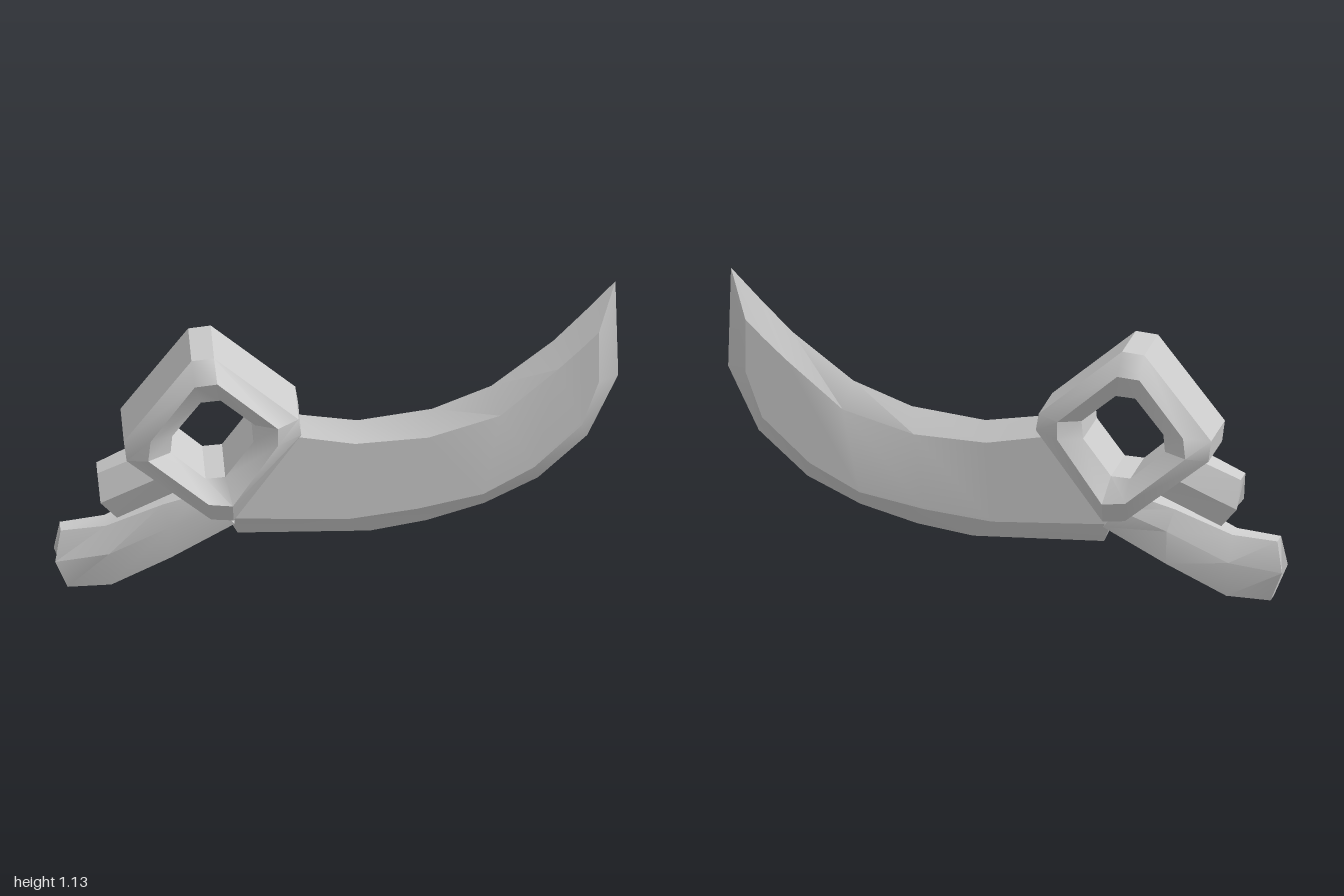
import * as THREE from 'three';
import { toCreasedNormals } from 'three/addons/utils/BufferGeometryUtils.js';

const material = new THREE.MeshStandardMaterial({ color: 0xcccccc });

// Skin a list of equal-length cross-sections; closed = the last joins the first
function loft(name, sections, closed = false) {
  const n = sections[0].length, count = sections.length;
  const tris = [];
  for (let i = 0; i < (closed ? count : count - 1); i++) {
    const a = sections[i], b = sections[(i + 1) % count];
    for (let j = 0; j < n; j++) {
      const k = (j + 1) % n;
      tris.push([a[j], b[j], b[k]], [a[j], b[k], a[k]]);
    }
  }
  if (!closed) {
    const a = sections[0], b = sections[count - 1];
    for (let j = 1; j < n - 1; j++) {
      tris.push([a[0], a[j], a[j + 1]], [b[0], b[j + 1], b[j]]);
    }
  }
  // Turn all faces outward by the sign of the enclosed volume
  const volume = tris.reduce((s, [a, b, c]) => s + a.dot(b.clone().cross(c)), 0);
  if (volume < 0) tris.forEach(t => t.reverse());
  const geometry = new THREE.BufferGeometry().setFromPoints(tris.flat());
  const mesh = new THREE.Mesh(toCreasedNormals(geometry, 0.5), material);
  mesh.name = name;
  return mesh;
}

const v = (p, z) => new THREE.Vector3(p[0], p[1], z);

export function createModel() {
  const group = new THREE.Group();

  // Octagonal ring: outer wall, front and back ridge, inner wall
  const outer = [[-.52, .91], [-.44, .92], [-.14, .68], [-.13, .62], [-.37, .295], [-.45, .30], [-.75, .53], [-.76, .605]];
  const ridge = [[-.51, .83], [-.43, .84], [-.215, .665], [-.215, .60], [-.375, .37], [-.46, .377], [-.675, .548], [-.667, .623]];
  const inner = [[-.487, .75], [-.417, .757], [-.294, .66], [-.30, .596], [-.40, .463], [-.47, .457], [-.594, .56], [-.588, .623]];
  group.add(loft('ring', outer.map((o, i) => [
    v(o, -.15), v(o, .15), v(ridge[i], .2), v(inner[i], .15), v(inner[i], -.15), v(ridge[i], -.2),
  ]), true));

  // Curved blade: top edge, upper shoulder, lower shoulder, bottom edge
  const blade = [
    [[-.21, .645], [-.21, .58], [-.385, .26], [-.35, .185]],
    [[.075, .61], [.065, .54], [.045, .252], [.12, .185]],
    [[.34, .65], [.325, .56], [.285, .287], [.32, .222]],
    [[.55, .735], [.58, .64], [.52, .34], [.525, .285]],
    [[.77, .905], [.785, .815], [.70, .44], [.715, .38]],
    [[.88, 1.015], [.865, .89], [.87, .60], [.89, .54]],
    [[.99, 1.13], [.93, .955], [.93, .765], [1, .77]],
  ];
  group.add(loft('blade', blade.map(([top, up, low, bottom]) => [
    v(top, 0), v(up, .05), v(low, .05), v(bottom, 0), v(low, -.05), v(up, -.05),
  ])));

  // Six-sided prongs: top, middle, bottom points, then their half widths
  const prong = (name, stations) => loft(name, stations.map(([t, m, b, wt, wm, wb]) => [
    v(t, wt), v(m, wm), v(b, wb), v(b, -wb), v(m, -wm), v(t, -wt),
  ]));
  group.add(prong('lowerProng', [
    [[-.48, .385], [-.42, .335], [-.365, .265], .11, .13, .11],
    [[-.62, .335], [-.595, .26], [-.59, .14], .09, .12, .11],
    [[-.82, .24], [-.81, .145], [-.80, .02], .05, .085, .065],
    [[-.98, .22], [-1, .11], [-.955, .003], .04, .065, .04],
  ]));
  group.add(prong('upperProng', [
    [[-.64, .54], [-.58, .47], [-.52, .40], .07, .11, .07],
    [[-.85, .442], [-.84, .34], [-.78, .27], .05, .08, .05],
  ]));

  return group;
}
